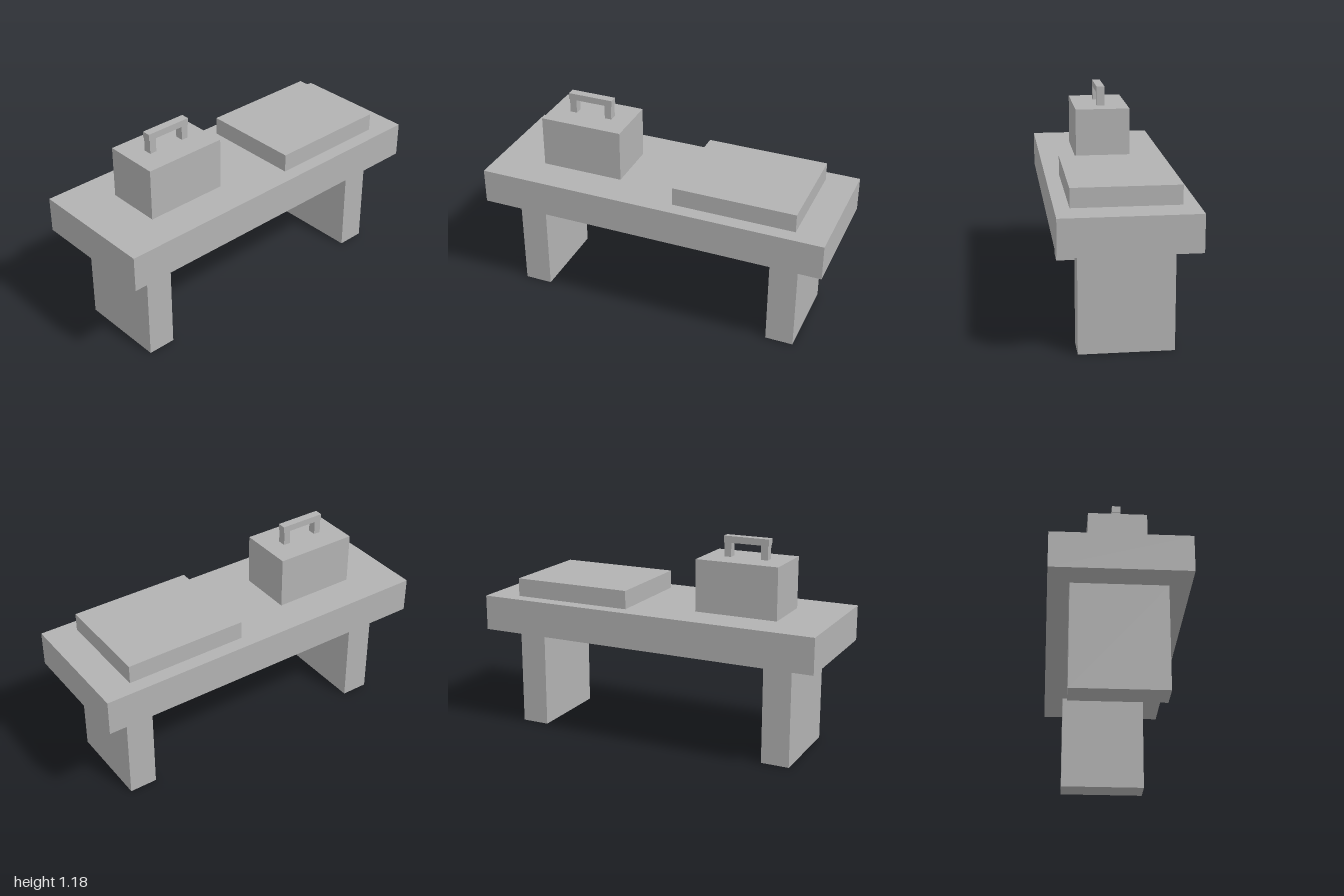
import * as THREE from 'three';

export function createModel() {
  const model = new THREE.Group();
  model.name = 'benchWithCase';
  const grey = new THREE.MeshStandardMaterial({ color: 0xb2b2b2 });
  grey.name = 'plain grey';

  // Box spanning x0..x1 and y0..y1, centred on z = 0
  function block(name, x0, x1, y0, y1, depth, parent = model) {
    const mesh = new THREE.Mesh(new THREE.BoxGeometry(x1 - x0, y1 - y0, depth), grey);
    mesh.position.set((x0 + x1) / 2, (y0 + y1) / 2, 0);
    mesh.name = name;
    parent.add(mesh);
  }

  // Bench top and its two slab legs
  const seatTop = 0.776, seatBottom = 0.575;
  block('benchTop', -1, 1, seatBottom, seatTop, 0.731);
  for (const [name, x] of [['rightLeg', -0.762], ['leftLeg', 0.762]]) {
    block(name, x - 0.08, x + 0.08, 0, seatBottom, 0.505);
  }

  // Flat pad lying on the bench
  block('pad', 0.126, 0.823, seatTop, 0.88, 0.573);

  // Carrying case with a bridge handle
  const carryCase = new THREE.Group();
  carryCase.name = 'carryCase';
  model.add(carryCase);
  const caseTop = 1.069, gripBottom = 1.147, caseX = -0.478;
  block('caseBody', caseX - 0.238, caseX + 0.238, seatTop, caseTop, 0.317, carryCase);
  for (const [name, x] of [['rightHandlePost', caseX - 0.107], ['leftHandlePost', caseX + 0.107]]) {
    block(name, x - 0.02, x + 0.02, caseTop, gripBottom, 0.047, carryCase);
  }
  block('handleGrip', caseX - 0.132, caseX + 0.132, gripBottom, 1.184, 0.047, carryCase);

  return model;
}
